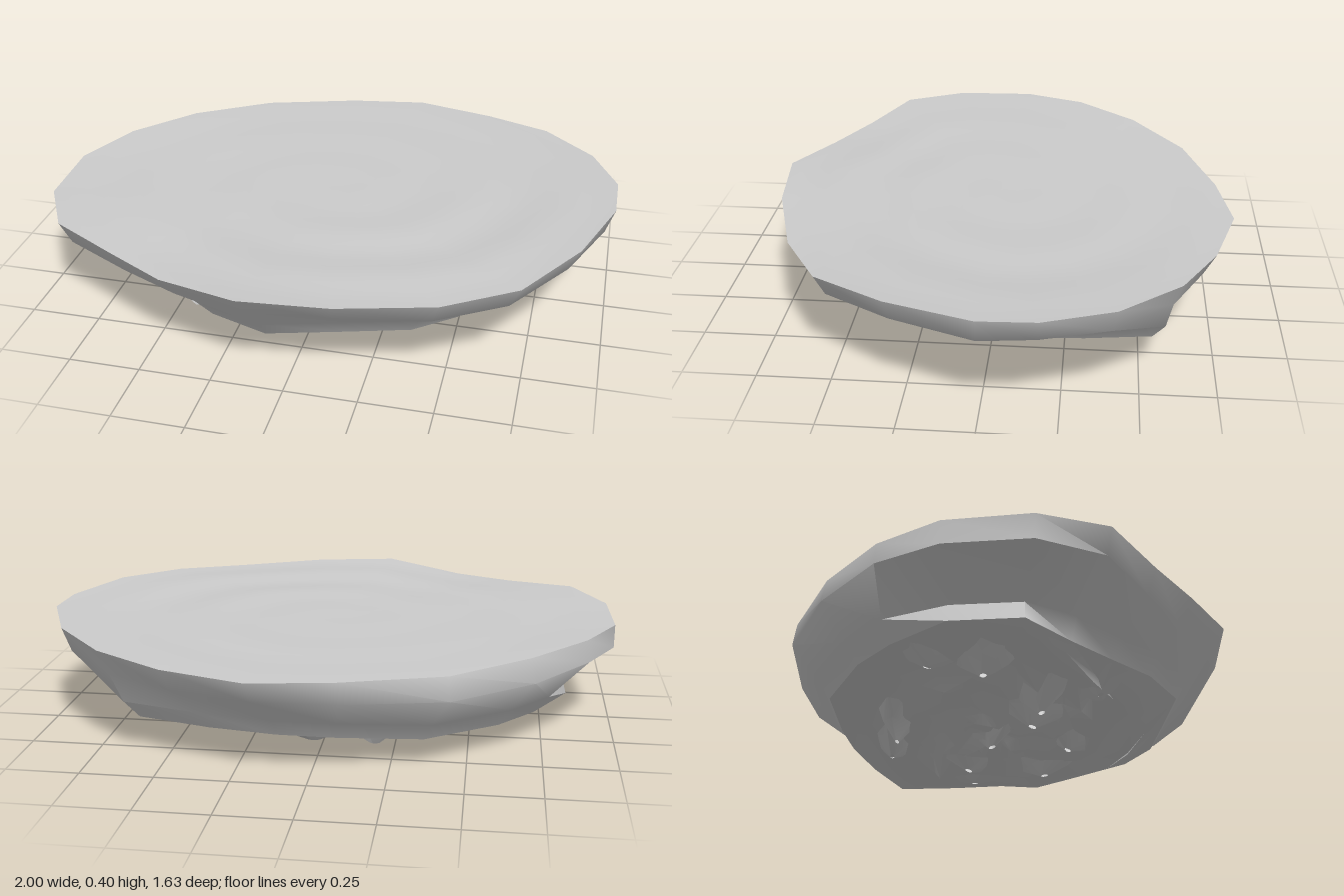
import * as THREE from 'three';
import { toCreasedNormals } from 'three/addons/utils/BufferGeometryUtils.js';

// Rim corners [x, y, z], running from the left side round the front
const RIM = [
  [1, .395, 0], [.9, .39, .29], [.73, .37, .54], [.49, .36, .68], [.17, .37, .78],
  [-.13, .375, .815], [-.42, .345, .71], [-.63, .35, .6], [-.87, .365, .48], [-.99, .36, .26],
  [-1, .36, -.03], [-.89, .37, -.26], [-.7, .37, -.48], [-.44, .36, -.67], [-.1, .36, -.775],
  [.18, .36, -.82], [.47, .365, -.74], [.71, .38, -.62], [.9, .39, -.42], [1, .4, -.19],
];
// How far the shoulder stands out at each corner, as a share of the rim
const SHOULDER = [.97, .96, .95, .94, .93, .93, .93, .95, .96, .99, 1, 1.01, 1.02, 1.015, .98, .95, .95, .96, .97, .97];
// Foot of the side [x, z], corner for corner with the rim
const FOOT = [
  [.7, .03], [.61, .2], [.52, .4], [.38, .51], [.15, .57], [-.09, .63], [-.3, .55], [-.45, .44], [-.62, .32], [-.81, .2],
  [-.84, -.04], [-.72, -.25], [-.6, -.39], [-.36, -.56], [-.08, -.6], [.12, -.61], [.35, -.59], [.6, -.54], [.64, -.32], [.66, -.13],
];
const N = RIM.length;

let seed = 11;
const rand = () => {
  seed = (seed * 16807) % 2147483647;
  return seed / 2147483647 * 2 - 1;
};

// Skins closed rings of points; a ring may shrink to a single point
function skin(rings) {
  const pos = [], index = [], start = [];
  for (const r of rings) {
    start.push(pos.length / 3);
    r.forEach(p => pos.push(...p));
  }
  for (let i = 0; i < rings.length - 1; i++) {
    const n0 = rings[i].length, n1 = rings[i + 1].length;
    for (let j = 0; j < N; j++) {
      const k = (j + 1) % N;
      const a = start[i] + j % n0, b = start[i] + k % n0;
      const c = start[i + 1] + j % n1, d = start[i + 1] + k % n1;
      if (n0 > 1) index.push(a, b, c);
      if (n1 > 1) index.push(b, d, c);
    }
  }
  const g = new THREE.BufferGeometry();
  g.setAttribute('position', new THREE.Float32BufferAttribute(pos, 3));
  g.setIndex(index);
  g.computeVertexNormals();
  return g;
}

export function createModel() {
  const group = new THREE.Group();
  const mat = new THREE.MeshStandardMaterial({ color: 0xcccccc, side: THREE.DoubleSide });
  const add = (name, geo, parent = group) => {
    const m = new THREE.Mesh(geo, mat);
    m.name = name;
    parent.add(m);
    return m;
  };

  // Top: nearly flat ground with faint curved ripples that die out at the rim
  const top = [[[0, .36, 0]]];
  const steps = 16;
  for (let s = 1; s <= steps; s++) {
    const t = s / steps;
    top.push(RIM.map(([x, y, z], j) => {
      const a = j / N * Math.PI * 2;
      const ripple = .008 * Math.sin(t * 17 + a) * (.6 + .4 * Math.cos(a - .6)) * (1 - t ** 4) * t;
      return [x * t, .36 + (y - .36) * t ** 3 + ripple, z * t];
    }));
  }
  add('groundTop', skin(top));

  // Side: short lip, then a slope in to the foot, with an upright corner on the right
  const shoulder = RIM.map(([x, y, z], j) => [x * SHOULDER[j], y - .08 + rand() * .006, z * SHOULDER[j]]);
  const foot = FOOT.map(([x, z]) => [x, .122 + x * .025 + z * .02, z]);
  const waist = foot.map(([x, y, z], j) => {
    const s = j === 9 || j === 10 ? .98 : 1.07;
    return [x * s, y + .065, z * s];
  });
  add('rockSide', toCreasedNormals(skin([RIM, shoulder, waist, foot]), .9));

  // Underside: broken terraces stepping in towards the middle
  const terraces = [[.88, .1, .008], [.8, .088, .015], [.66, .098, .018], [.56, .07, .02],
    [.42, .085, .02], [.33, .06, .02], [.2, .065, .02], [.1, .05, .015]];
  const under = terraces.map(([t, y, rough]) => foot.map(([x, , z]) => {
    const s = t + rand() * .045 * Math.min(1, t * 2);
    return [-.08 + (x + .08) * s, y + rand() * rough, z * s];
  }));
  add('rockUnderside', toCreasedNormals(skin([foot, ...under, [[-.08, .055, 0]]]), 1));

  // Ragged lumps hanging below: x, z, tip height, half length, half width, turn
  const lumps = new THREE.Group();
  lumps.name = 'hangingLumps';
  group.add(lumps);
  [[-.18, -.36, 0, .17, .07, .1], [-.32, .18, .008, .18, .1, .5], [-.2, .13, .012, .2, .11, -.4],
    [-.05, -.04, .01, .2, .1, .7], [.22, -.18, .035, .22, .1, -.3], [.02, -.43, .03, .2, .08, .2],
    [.32, .1, .035, .16, .11, 1.1], [-.6, .03, .025, .15, .12, .3], [.08, .22, .035, .22, .1, -.2],
    [-.3, .38, .07, .16, .1, .5], [.45, -.2, .075, .16, .12, 1.4], [-.62, -.15, .06, .15, .1, -.8],
  ].forEach(([x, z, tip, length, width, turn]) => {
    const h = .115 - tip;
    const g = new THREE.CylinderGeometry(1, .1, h, 7, 2, true);
    // Pull the middle of each lump in and out unevenly
    const p = g.attributes.position;
    const bulge = Array.from({ length: 7 }, () => 1 + rand() * .3);
    for (let i = 0; i < p.count; i++) {
      const k = Math.abs(p.getY(i)) < h / 4 ? bulge[i % 8 % 7] : 1;
      p.setXYZ(i, p.getX(i) * k * length, p.getY(i), p.getZ(i) * k * width);
    }
    g.rotateX(Math.PI).rotateX(Math.PI).rotateY(turn);
    add('lump', toCreasedNormals(g, 1), lumps).position.set(x, tip + h / 2, z);
  });
  return group;
}
